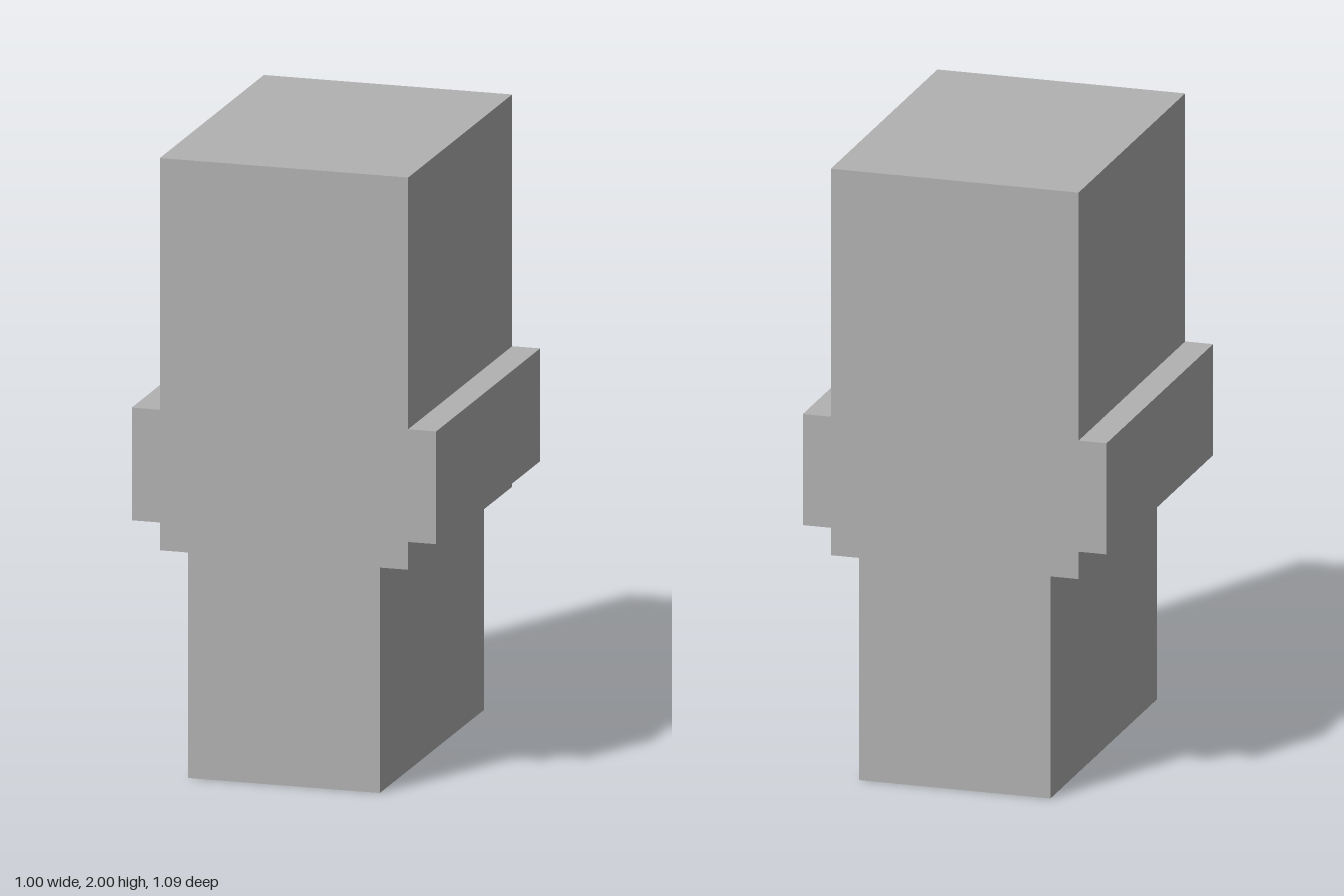
import * as THREE from 'three';

export function createModel() {
  const model = new THREE.Group();
  model.name = 'steppedBlock';
  const grey = new THREE.MeshStandardMaterial({ color: 0xb2b2b2 });
  grey.name = 'grey';

  // Right half of the stepped profile, from the base up
  const half = [
    [0.315, 0], [0.315, 0.73], [0.408, 0.73], [0.408, 0.82],
    [0.5, 0.82], [0.5, 1.185], [0.408, 1.185], [0.408, 2],
  ];
  // Mirror it to close the outline
  const outline = [...half, ...half.map(([x, y]) => [-x, y]).reverse()];
  const shape = new THREE.Shape(outline.map(([x, y]) => new THREE.Vector2(x, y)));

  // One solid body, extruded front to back
  const depth = 1.09;
  const geometry = new THREE.ExtrudeGeometry(shape, { depth, bevelEnabled: false });
  geometry.translate(0, 0, -depth / 2);
  const body = new THREE.Mesh(geometry, grey);
  body.name = 'body';
  model.add(body);
  return model;
}
